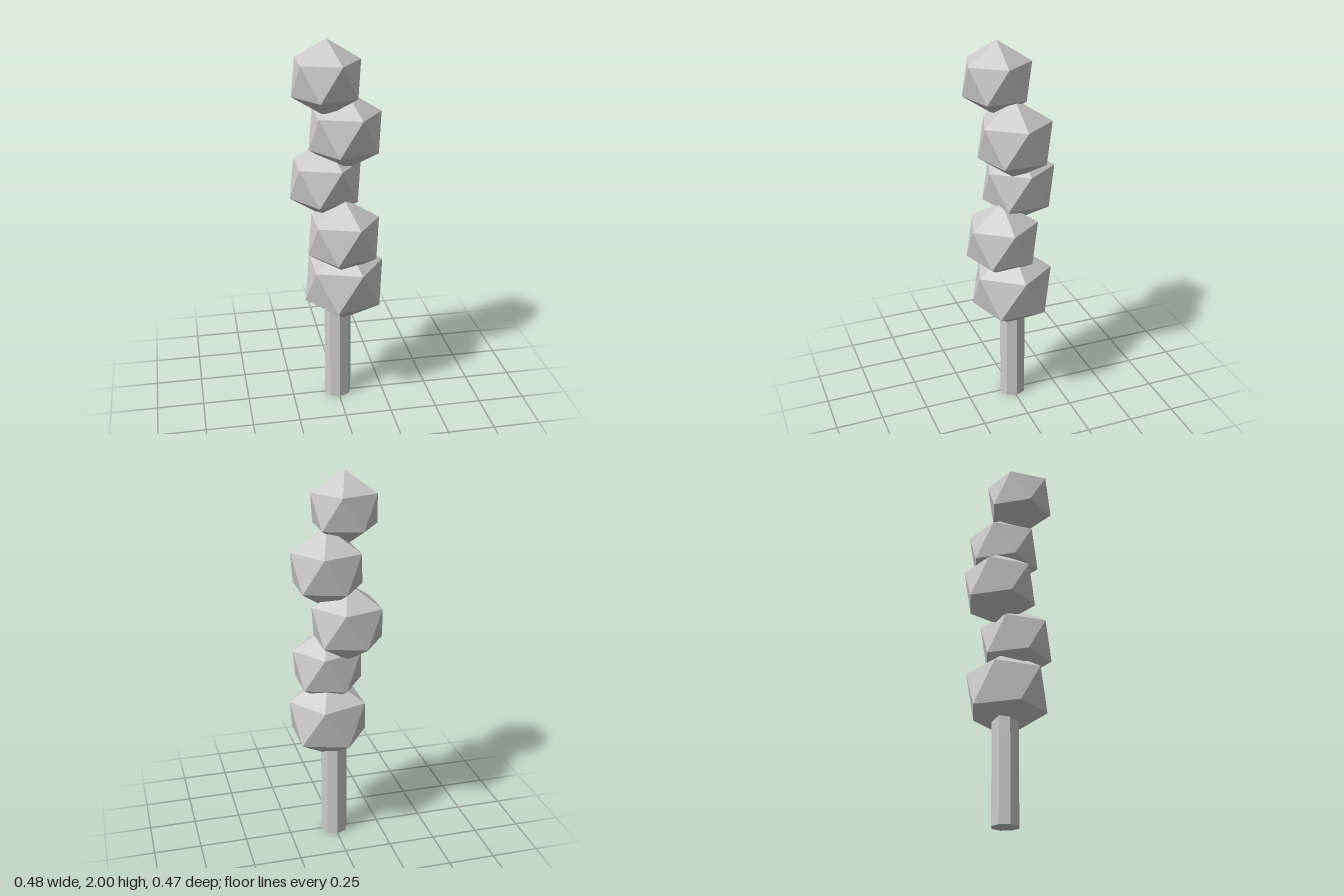
import * as THREE from 'three';

// Foliage clumps, bottom to top: [x, y, z, radius]
const CLUMPS = [
  [0.031, 0.697, 0.012, 0.233],
  [0.02, 0.973, 0.06, 0.208],
  [-0.055, 1.246, -0.058, 0.208],
  [0.038, 1.521, -0.003, 0.208],
  [-0.067, 1.807, 0.051, 0.193],
];

export function createModel() {
  const tree = new THREE.Group();
  tree.name = 'tree';
  const material = new THREE.MeshStandardMaterial({ color: 0xcccccc, flatShading: true });

  // Eight-sided trunk, its top hidden inside the lowest clump
  const trunkHeight = 0.65;
  const trunk = new THREE.Mesh(new THREE.CylinderGeometry(0.072, 0.072, trunkHeight, 8), material);
  trunk.name = 'trunk';
  trunk.position.set(0.001, trunkHeight / 2, -0.005);
  tree.add(trunk);

  // Icosahedron tilted so one corner points straight up
  const golden = (1 + Math.sqrt(5)) / 2;
  const clumpGeometry = new THREE.IcosahedronGeometry(1, 0).rotateZ(-Math.atan(1 / golden));

  CLUMPS.forEach(([x, y, z, radius], i) => {
    const clump = new THREE.Mesh(clumpGeometry, material);
    clump.name = `foliageClump${i + 1}`;
    clump.position.set(x, y, z);
    clump.scale.setScalar(radius);
    tree.add(clump);
  });

  return tree;
}
